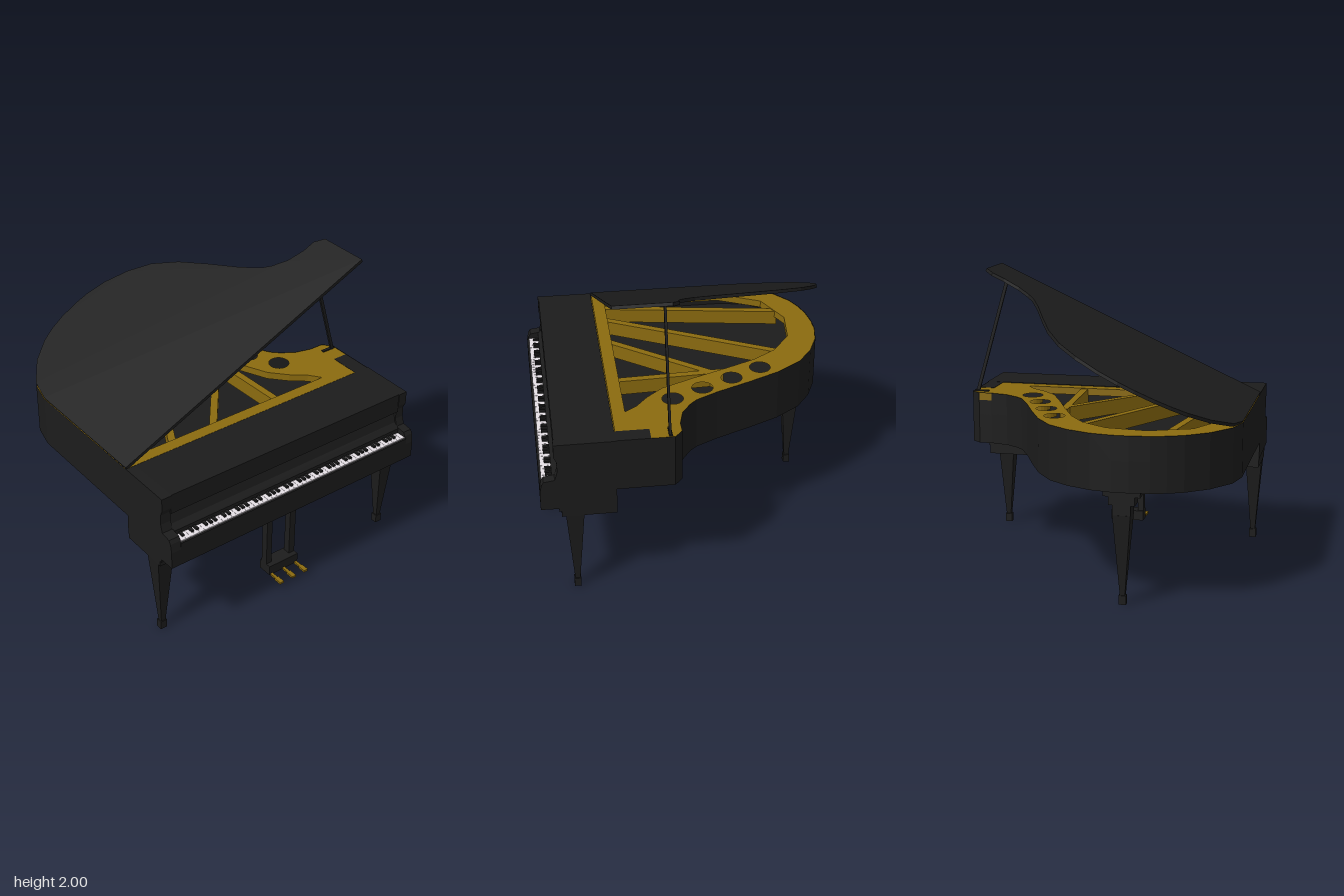
import * as THREE from 'three';

const black = new THREE.MeshStandardMaterial({ color: 0x1c1c1c });
const blackThin = new THREE.MeshStandardMaterial({ color: 0x1c1c1c, side: THREE.DoubleSide });
const gold = new THREE.MeshStandardMaterial({ color: 0x8b6b0f });
const white = new THREE.MeshStandardMaterial({ color: 0xe6e0e6 });

// Curved case edge as [x, z], from the left front around the tail to the right front
const outline = [
  [-1, 0.52], [-1, -0.46], [-0.96, -0.63], [-0.84, -0.8], [-0.7, -0.91], [-0.6, -0.955],
  [-0.5, -0.983], [-0.37, -1], [-0.26, -1], [-0.12, -0.975], [0.04, -0.905], [0.18, -0.8],
  [0.3, -0.63], [0.4, -0.42], [0.5, -0.19], [0.58, -0.04], [0.63, 0.01], [0.72, 0.07],
  [0.84, 0.1], [0.93, 0.1], [0.99, 0.15], [0.99, 0.52],
];

const vectors = (pts) => pts.map(([x, z]) => new THREE.Vector2(x, -z));

export function createModel() {
  const model = new THREE.Group();

  const add = (name, geometry, material = black, parent = model) => {
    const mesh = new THREE.Mesh(geometry, material);
    mesh.name = name;
    parent.add(mesh);
    return mesh;
  };
  // Box given by its limits on each axis
  const box = (name, x0, x1, y0, y1, z0, z1, material = black, parent = model) => {
    const mesh = add(name, new THREE.BoxGeometry(x1 - x0, y1 - y0, z1 - z0), material, parent);
    mesh.position.set((x0 + x1) / 2, (y0 + y1) / 2, (z0 + z1) / 2);
    return mesh;
  };
  // Horizontal slab from an [x, z] outline
  const slab = (shape, height) =>
    new THREE.ExtrudeGeometry(shape, { depth: height, bevelEnabled: false, curveSegments: 10 }).rotateX(-Math.PI / 2);
  // Side profile of [z, y] points stretched along x
  const profile = (name, pts, x0, x1) => {
    const shape = new THREE.Shape(pts.map(([z, y]) => new THREE.Vector2(-z, y)));
    const geometry = new THREE.ExtrudeGeometry(shape, { depth: x1 - x0, bevelEnabled: false });
    return add(name, geometry.rotateY(Math.PI / 2).translate(x0, 0, 0));
  };

  // Case: solid bottom and soundboard, with a thin rim wall above
  add('soundboardCase', slab(new THREE.Shape(vectors(outline)), 0.21)).position.y = 0.77;
  const wall = [];
  for (let i = 0; i < outline.length - 1; i++) {
    const [ax, az] = outline[i], [bx, bz] = outline[i + 1];
    wall.push(ax, 0.97, az, ax, 1.13, az, bx, 1.13, bz, ax, 0.97, az, bx, 1.13, bz, bx, 0.97, bz);
  }
  const wallGeometry = new THREE.BufferGeometry();
  wallGeometry.setAttribute('position', new THREE.Float32BufferAttribute(wall, 3));
  wallGeometry.computeVertexNormals();
  add('rimWall', wallGeometry, blackThin);

  // Iron plate with a large opening and round holes along the curved side
  const edge = outline.slice(1, -1).map(([x, z]) => [x * 0.997, z * 0.997]);
  const plate = new THREE.Shape(vectors([[-0.99, 0.515], ...edge, [0.987, 0.3], [0.88, 0.3], [0.88, 0.515]]));
  plate.holes.push(new THREE.Path(vectors([
    [-0.87, 0.43], [0.66, 0.43], [0.6, 0.35], [0.5, 0.27], [0.4, 0.16], [0.3, -0.06], [0.2, -0.3],
    [0.11, -0.5], [0, -0.66], [-0.18, -0.79], [-0.45, -0.82], [-0.72, -0.7], [-0.87, -0.4],
  ])));
  for (const [x, z] of [[0.22, -0.52], [0.33, -0.31], [0.43, -0.1], [0.54, 0.11]]) {
    const hole = new THREE.Path();
    hole.absarc(x, -z, 0.07, 0, Math.PI * 2, true);
    plate.holes.push(hole);
  }
  add('ironPlate', slab(plate, 0.05), gold).position.y = 1.077;
  box('rightDeck', 0.88, 0.988, 0.97, 1.129, 0.3, 0.52);

  // Plate struts
  for (const [x0, z0, x1, z1] of [
    [-0.78, 0.45, -0.58, -0.79], [-0.6, 0.45, 0, -0.68], [-0.28, 0.45, 0.25, -0.22], [0.25, 0.45, 0.22, -0.27],
  ]) {
    const strut = add('plateStrut', new THREE.BoxGeometry(0.05, 0.1, Math.hypot(x1 - x0, z1 - z0)), gold);
    strut.position.set((x0 + x1) / 2, 1.07, (z0 + z1) / 2);
    strut.rotation.y = Math.atan2(x1 - x0, z1 - z0);
  }

  // Raised lid, hinged on the left
  const lidShape = new THREE.Shape(vectors(outline.map(([x, z]) => [(x + 1) * 1.035, Math.min(z, 0.515)])));
  const lid = add('raisedLid', slab(lidShape, 0.022));
  lid.position.set(-0.99, 1.118, 0);
  lid.rotation.z = THREE.MathUtils.degToRad(24.7);

  // Lid prop and its foot
  const prop = add('lidProp', new THREE.BoxGeometry(0.022, 0.825, 0.016));
  prop.position.set(0.848, 1.522, 0.18);
  prop.rotation.z = Math.atan2(0.225, 0.79);
  box('lidPropFoot', 0.88, 0.98, 1.12, 1.135, 0.165, 0.187);

  // Front section: fixed lid and fallboard between two shaped cheeks
  profile('fallboardBlock', [
    [0.52, 0.65], [0.52, 1.13], [0.9, 1.13], [0.9, 0.99], [0.865, 0.98], [0.885, 0.9],
    [0.92, 0.865], [0.92, 0.81], [0.985, 0.81], [0.985, 0.66],
  ], -0.93, 0.935);
  const cheek = [
    [0.52, 0.65], [0.52, 1.13], [0.905, 1.13], [0.905, 1.04], [0.887, 1], [0.888, 0.93], [0.905, 0.875],
    [0.975, 0.865], [0.99, 0.84], [1, 0.78], [1, 0.66],
  ];
  profile('leftCheek', cheek, 0.93, 0.995);
  profile('rightCheek', cheek, -1, -0.925);
  box('keySlip', -0.93, 0.935, 0.66, 0.824, 0.985, 1);
  box('keyBed', -0.998, 0.988, 0.59, 0.665, 0.52, 0.87);
  box('keyBedMoulding', -0.998, 0.988, 0.63, 0.665, 0.86, 0.885);

  // Keyboard: 52 white keys, black keys in groups of two and three
  const keyboard = new THREE.Group();
  keyboard.name = 'keyboard';
  model.add(keyboard);
  const step = 1.855 / 52;
  for (let i = 0; i < 52; i++) {
    const x = -0.918 + i * step;
    box('whiteKey', x + 0.0008, x + step - 0.0008, 0.805, 0.832, 0.915, 0.987, white, keyboard);
    if ([0, 2, 3, 5, 6].includes(i % 7) && i < 51) {
      box('blackKey', x + step - 0.009, x + step + 0.009, 0.825, 0.845, 0.915, 0.96, black, keyboard);
    }
  }

  // Tapered square legs with block feet
  const leg = (name, x, z) => {
    const group = new THREE.Group();
    group.name = name;
    group.position.set(x, 0, z);
    model.add(group);
    const taper = new THREE.CylinderGeometry(0.058 * Math.SQRT2, 0.016 * Math.SQRT2, 0.54, 4, 1).rotateY(Math.PI / 4);
    add('taperedLeg', taper.toNonIndexed(), black, group).position.y = 0.325;
    group.children[0].geometry.computeVertexNormals();
    box('legFoot', -0.024, 0.024, 0, 0.06, -0.022, 0.022, black, group);
    return group;
  };
  leg('leftFrontLeg', 0.928, 0.787);
  leg('rightFrontLeg', -0.938, 0.787);
  const rear = leg('rearLeg', -0.305, -0.845);
  box('rearLegBlock', -0.058, 0.058, 0.59, 0.72, -0.056, 0.056, black, rear);
  box('rearLegStep', -0.085, 0.085, 0.66, 0.72, -0.056, 0.056, black, rear);
  box('rearLegCap', -0.12, 0.12, 0.715, 0.775, -0.056, 0.056, black, rear);

  // Pedal lyre
  const lyre = new THREE.Group();
  lyre.name = 'pedalLyre';
  model.add(lyre);
  box('lyrePost', -0.117, -0.074, 0.13, 0.6, 0.785, 0.835, black, lyre);
  box('lyrePost', 0.077, 0.124, 0.13, 0.6, 0.785, 0.835, black, lyre);
  box('lyreBox', -0.117, 0.124, 0.07, 0.142, 0.77, 0.872, black, lyre);
  for (const x of [-0.1, 0.004, 0.107]) {
    box('pedal', x - 0.01, x + 0.01, 0.066, 0.08, 0.8, 0.93, gold, lyre);
    box('pedalPad', x - 0.016, x + 0.016, 0.066, 0.081, 0.925, 0.985, gold, lyre);
  }

  return model;
}
